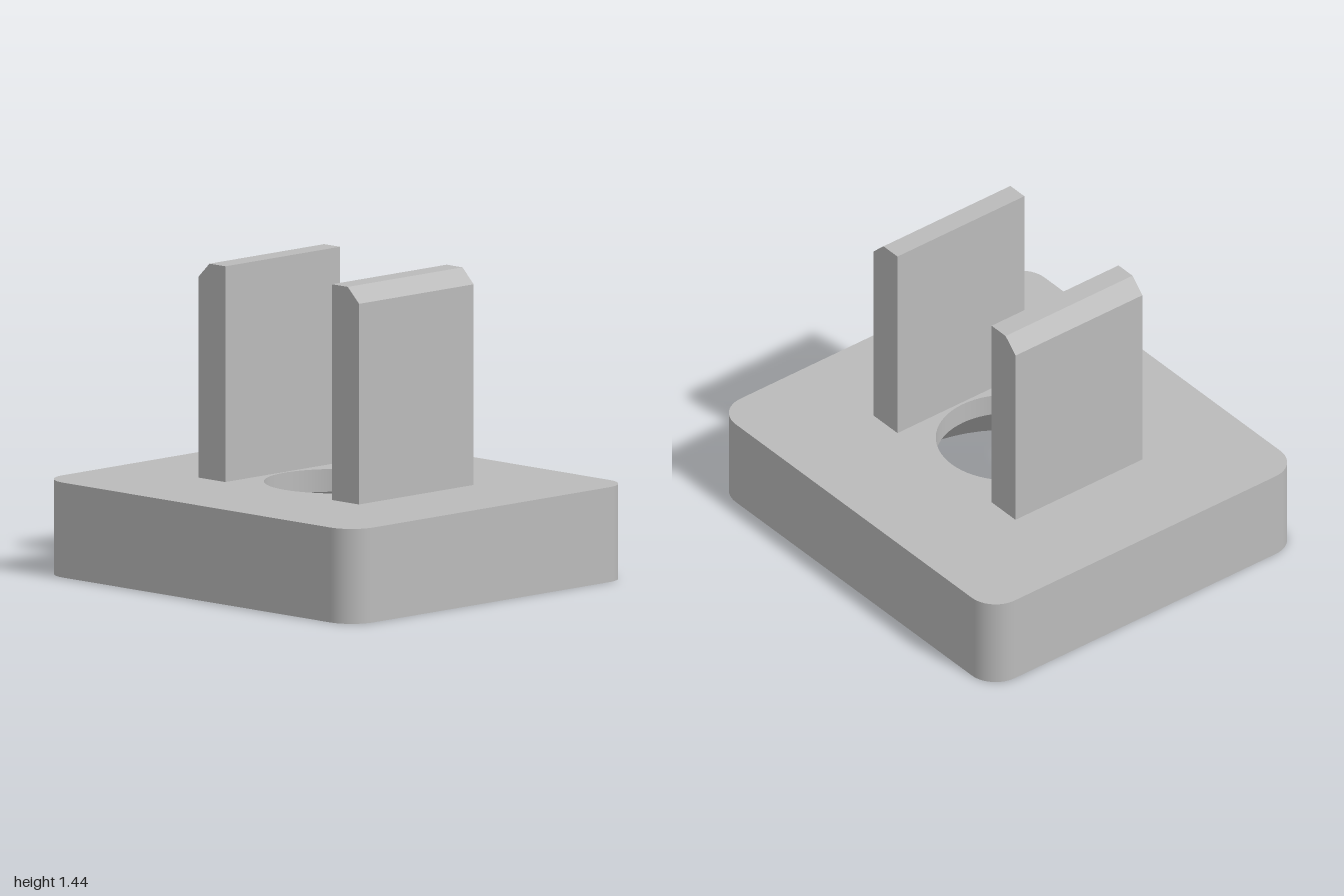
import * as THREE from 'three';

const HX = 1, HZ = 0.905, H = 0.44, R = 0.14;     // base half sizes, height, corner radius
const HOLE = 0.33, SINK = 0.66, SINK_TOP = 0.335; // bore and countersink
const SEG = 64, CORNER = 12;

// Rounded rectangle outline with its outward normals, counter-clockwise
function outline() {
  const pts = [];
  [[1, 1], [-1, 1], [-1, -1], [1, -1]].forEach(([sx, sy], q) => {
    for (let i = 0; i <= CORNER; i++) {
      const a = (q + i / CORNER) * Math.PI / 2;
      const n = new THREE.Vector2(Math.cos(a), Math.sin(a));
      pts.push({ n, p: new THREE.Vector2(sx * (HX - R) + R * n.x, sy * (HZ - R) + R * n.y) });
    }
  });
  return pts;
}

// Flat plate with a round hole, facing up
function face(radius) {
  const shape = new THREE.Shape(outline().map(o => o.p));
  shape.holes.push(new THREE.Path().absarc(0, 0, radius, 0, Math.PI * 2, true));
  return new THREE.ShapeGeometry(shape, SEG / 2).rotateX(-Math.PI / 2);
}

// Smooth outer wall swept round the outline
function wall() {
  const pts = outline(), pos = [], nor = [], idx = [];
  pts.forEach(({ p, n }, i) => {
    pos.push(p.x, 0, -p.y, p.x, H, -p.y);
    nor.push(n.x, 0, -n.y, n.x, 0, -n.y);
    const a = 2 * i, b = 2 * ((i + 1) % pts.length);
    idx.push(a, b, b + 1, a, b + 1, a + 1);
  });
  const g = new THREE.BufferGeometry();
  g.setAttribute('position', new THREE.Float32BufferAttribute(pos, 3));
  g.setAttribute('normal', new THREE.Float32BufferAttribute(nor, 3));
  g.setIndex(idx);
  return g;
}

// Inward-facing ring: the profile runs downwards
function ring(r1, y1, r0, y0) {
  return new THREE.LatheGeometry([new THREE.Vector2(r1, y1), new THREE.Vector2(r0, y0)], SEG);
}

export function createModel() {
  const model = new THREE.Group();
  model.name = 'clipBlock';
  const grey = new THREE.MeshStandardMaterial({ color: 0xbbbbbb });
  grey.name = 'grey';
  const add = (name, geometry, parent) => {
    const mesh = new THREE.Mesh(geometry, grey);
    mesh.name = name;
    parent.add(mesh);
    return mesh;
  };

  // Base block with a countersunk hole
  const base = new THREE.Group();
  base.name = 'base';
  model.add(base);
  add('baseWall', wall(), base);
  add('baseTop', face(HOLE).translate(0, H, 0), base);
  add('baseUnderside', face(SINK).rotateX(Math.PI), base);
  add('bore', ring(HOLE, H, HOLE, SINK_TOP), base);
  add('countersink', ring(HOLE, SINK_TOP, SINK, 0), base);

  // Upright prongs, chamfered along the outer top edge
  const profile = new THREE.Shape([[0.343, H], [0.517, H], [0.517, 1.37], [0.445, 1.44], [0.343, 1.44]]
    .map(([x, y]) => new THREE.Vector2(x, y)));
  const depth = 0.744;
  const prong = new THREE.ExtrudeGeometry(profile, { depth, bevelEnabled: false }).translate(0, 0, -depth / 2);
  add('leftProng', prong, model);
  add('rightProng', prong, model).rotation.y = Math.PI;

  return model;
}
